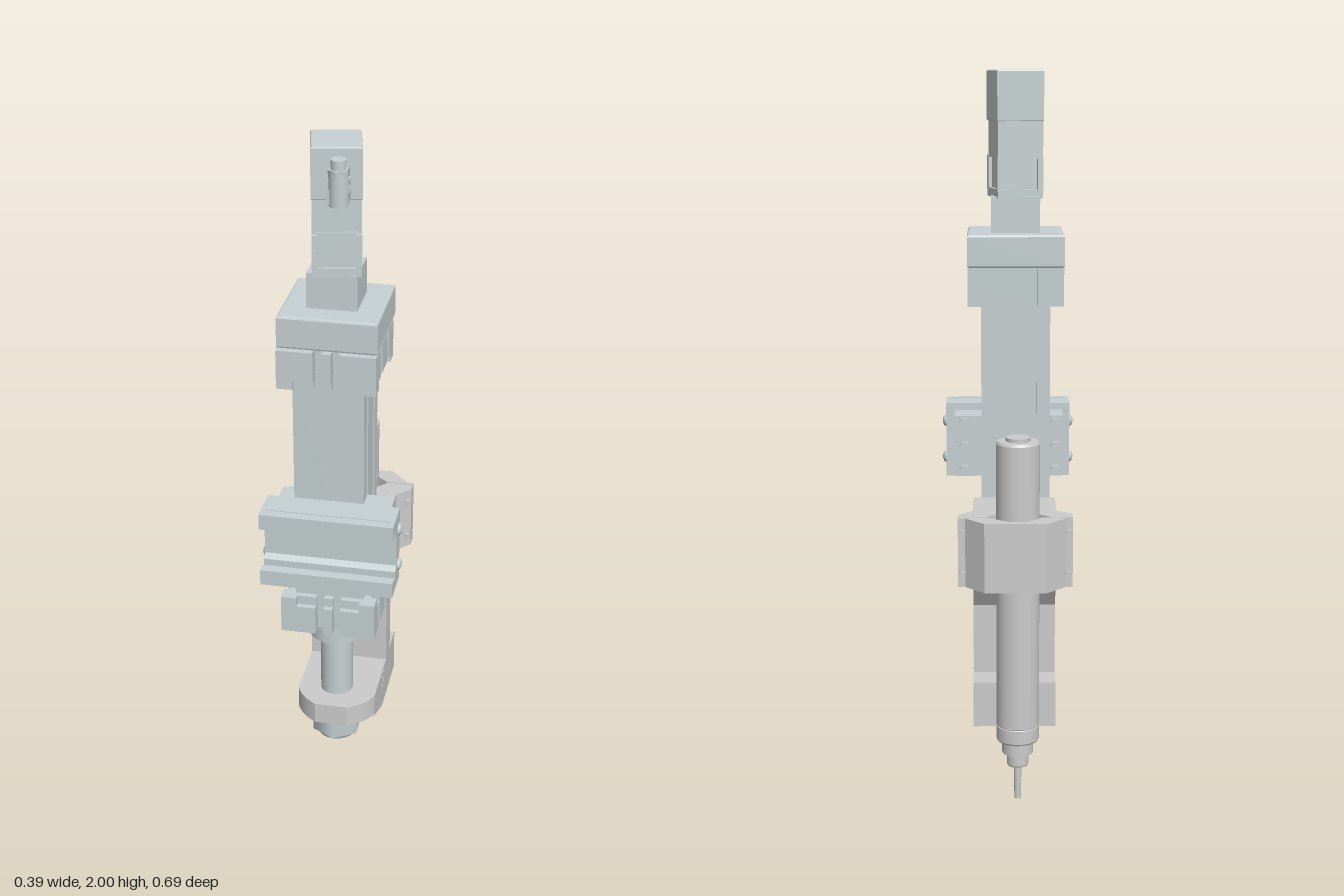
import * as THREE from 'three';

const blue = new THREE.MeshStandardMaterial({ color: 0xc6d0d2 });
const grey = new THREE.MeshStandardMaterial({ color: 0xcccccc });

export function createModel() {
  const root = new THREE.Group();
  const CX = -0.02, CZ = 0.1; // axis of the press cylinder
  const SX = -0.023, SZ = -0.265; // axis of the spindle

  const add = (name, geo, mat, parent = root) => {
    const m = new THREE.Mesh(geo, mat);
    m.name = name;
    parent.add(m);
    return m;
  };
  // box given by its limits
  const box = (name, mat, x0, x1, y0, y1, z0, z1, parent) => add(name,
    new THREE.BoxGeometry(x1 - x0, y1 - y0, z1 - z0)
      .translate((x0 + x1) / 2, (y0 + y1) / 2, (z0 + z1) / 2), mat, parent);
  // upright cylinder
  const cyl = (name, mat, x, z, y0, y1, r, sides = 32, r2 = r) => add(name,
    new THREE.CylinderGeometry(r2, r, y1 - y0, sides).translate(x, (y0 + y1) / 2, z), mat);
  const shapeOf = (pts) => new THREE.Shape(pts.map(([a, b]) => new THREE.Vector2(a, b)));
  const extrude = (shape, depth, bevel = 0) => new THREE.ExtrudeGeometry(shape, {
    depth, curveSegments: 24, bevelEnabled: bevel > 0, bevelSize: bevel, bevelThickness: bevel, bevelOffset: -bevel, bevelSegments: 2 });
  // outline of [x, z] points raised from y0 to y1
  const prismY = (name, mat, pts, y0, y1, parent) => add(name,
    extrude(shapeOf(pts.map(([x, z]) => [x, -z])), y1 - y0).rotateX(-Math.PI / 2).translate(0, y0, 0), mat, parent);
  // outline of [z, y] points drawn from x0 to x1
  const prismX = (name, mat, pts, x0, x1) => add(name,
    extrude(shapeOf(pts.map(([z, y]) => [-z, y])), x1 - x0).rotateY(Math.PI / 2).translate(x0, 0, 0), mat);
  // small disc lying across the x axis
  const discX = (name, mat, x, y, z, r, len, sides = 16) => add(name,
    new THREE.CylinderGeometry(r, r, len, sides).rotateZ(Math.PI / 2).translate(x, y, z), mat);

  // rectangle around the cylinder axis with T-slots; slots are offsets for the +z, +x, -z, -x sides
  const slotted = (hx, hz, slots, width, depth, flare) => {
    const pts = [];
    const sides = [[0, 1, hx, hz], [1, 0, hz, hx], [0, -1, hx, hz], [-1, 0, hz, hx]];
    sides.forEach(([nx, nz, half, dist], i) => {
      const tx = nz, tz = -nx;
      const put = (t, d) => pts.push([CX + tx * t + nx * d, CZ + tz * t + nz * d]);
      put(-half, dist);
      for (const s of slots[i]) {
        const a = width / 2, b = a + flare;
        put(s - a, dist);
        if (flare) { put(s - a, dist - depth * 0.4); put(s - b, dist - depth * 0.4); }
        put(s - b, dist - depth);
        put(s + b, dist - depth);
        if (flare) { put(s + b, dist - depth * 0.4); put(s + a, dist - depth * 0.4); }
        put(s + a, dist);
      }
      put(half, dist);
    });
    return pts;
  };

  // press cylinder: slotted body, end clamps and top cap
  const pair = [-0.049, 0.049];
  prismY('cylinderBody', blue, slotted(0.097, 0.1, [[], pair, pair, pair], 0.022, 0.03, 0.006), 0.66, 1.4);
  const toothed = slotted(0.134, 0.132, [[-0.024, 0.024], pair, pair, pair], 0.022, 0.033, 0);
  for (const [name, y0, y1, s] of [['lowerClamp', 0.588, 0.7, 1], ['upperClamp', 1.355, 1.465, -1]]) {
    const base = s > 0 ? y0 : y1;
    const inner = slotted(0.118, 0.116, [[-0.024, 0.024], pair, pair, pair], 0.022, 0.018, 0);
    const g = new THREE.Group();
    g.name = name;
    root.add(g);
    if (s > 0) prismY('clampBlock', blue, toothed, base, base + 0.085, g);
    else prismY('clampBlock', blue, toothed, base - 0.085, base, g);
    prismY('clampStep', blue, inner, y0, y1, g);
    for (const sx of [-1, 1]) for (const sz of [-1, 1]) {
      const x = CX + sx * 0.112, z = CZ + sz * 0.11;
      box('cornerLug', blue, x - 0.022, x + 0.022, y0, y1, z - 0.022, z + 0.022, g);
    }
  }
  const cap = new THREE.Shape();
  cap.moveTo(-0.135, -0.135).lineTo(0.135, -0.135).lineTo(0.135, 0.135).lineTo(-0.135, 0.135);
  add('topCap', extrude(cap, 0.079, 0.006).rotateX(-Math.PI / 2).translate(CX, 1.471, 0.082), blue);

  // adapter and motor
  box('motorAdapter', blue, -0.088, 0.048, 1.55, 1.655, 0.012, 0.148);
  const motor = new THREE.Group();
  motor.name = 'motor';
  motor.position.set(-0.019, 0, 0.085);
  motor.rotation.y = 0.21;
  root.add(motor);
  box('motorFlange', blue, -0.064, 0.064, 1.65, 1.675, -0.069, 0.069, motor);
  box('motorBody', blue, -0.055, 0.055, 1.67, 1.77, -0.06, 0.06, motor);
  box('motorHousing', blue, -0.064, 0.064, 1.76, 1.865, -0.07, 0.055, motor);
  for (const sx of [-1, 1]) for (const sz of [-1, 1])
    box('motorCornerPost', blue, sx * 0.057 - 0.008, sx * 0.057 + 0.008, 1.67, 1.765, sz * 0.06 - 0.01, sz * 0.06 + 0.01, motor);
  const top = shapeOf([[-0.066, -0.071], [0.066, -0.071], [0.066, 0.071], [-0.066, 0.071]]);
  add('motorHead', extrude(top, 0.132, 0.004).rotateX(-Math.PI / 2).translate(0, 1.864, 0), blue, motor);

  // angled plug on the motor
  box('plugBase', blue, -0.022, 0.032, 1.865, 1.925, 0.15, 0.19);
  add('plugElbow', new THREE.CylinderGeometry(0.027, 0.027, 0.06, 20).rotateX(Math.PI / 2).translate(0.01, 1.895, 0.2), blue);
  cyl('plugBody', blue, 0.013, 0.215, 1.87, 1.955, 0.025, 20);
  cyl('plugCollar', blue, 0.013, 0.215, 1.945, 1.965, 0.028, 6);
  cyl('plugTip', blue, 0.013, 0.215, 1.96, 1.99, 0.02, 20);

  // rod and nut
  cyl('rodCollar', blue, CX, CZ, 0.52, 0.6, 0.078, 40);
  cyl('pistonRod', blue, CX, CZ, 0.2, 0.53, 0.047, 40);
  cyl('nutWasher', blue, CX, CZ, 0.235, 0.257, 0.05, 32);
  const nut = cyl('rodNut', blue, CX, CZ, 0.178, 0.24, 0.075, 6);
  nut.material = blue;
  cyl('rodNutChamfer', blue, CX, CZ, 0.165, 0.178, 0.058, 32, 0.064);

  // front mounting rail, open to the front
  const half = [[0.235, 1.03], [0.345, 1.03], [0.345, 0.985], [0.318, 0.985], [0.318, 0.995],
    [0.3, 0.995], [0.3, 0.975], [0.282, 0.965]];
  prismX('frontRail', blue, [...half, ...half.map(([z, y]) => [z, 1.84 - y]).reverse()], -0.183, 0.183);
  for (const s of [-1, 1]) {
    box('railRib', blue, -0.17, 0.17, 0.92 + s * 0.11 - 0.002, 0.92 + s * 0.11 + 0.002, 0.313, 0.317);
    for (const y of [0.865, 0.975]) {
      const head = add('railScrew', new THREE.SphereGeometry(0.018, 16, 10), blue);
      head.scale.x = 0.6;
      head.position.set(s * 0.183, y, 0.255);
    }
  }
  // saddle holding the rail to the body
  box('saddle', blue, -0.16, 0.155, 0.83, 1.01, 0.19, 0.236);
  for (const [x0, x1] of [[-0.16, -0.1], [0.075, 0.155]]) {
    box('saddleJaw', blue, x0, x1, 0.83, 1.01, 0.146, 0.2);
    for (const y of [0.85, 0.92, 0.99])
      add('saddleScrew', new THREE.CylinderGeometry(0.014, 0.014, 0.02, 16)
        .rotateX(Math.PI / 2).translate(x0 < 0 ? -0.137 : 0.128, y, 0.138), blue);
  }

  // carrier bracket: rounded foot, side ribs and C-shaped column
  const foot = new THREE.Shape();
  foot.moveTo(-0.13, 0.1).lineTo(-0.13, -0.13).quadraticCurveTo(-0.115, -0.175, -0.065, -0.205)
    .lineTo(0.03, -0.205).quadraticCurveTo(0.085, -0.175, 0.1, -0.13).lineTo(0.1, 0.1);
  add('bracketFoot', extrude(foot, 0.065).rotateX(-Math.PI / 2).translate(0, 0.255, 0), grey);
  for (const [x0, x1] of [[-0.13, -0.088], [0.058, 0.1]])
    prismX('bracketRib', grey, [[0.15, 0.256], [0, 0.19], [-0.08, 0.19], [-0.08, 0.256]], x0, x1);
  prismX('bracketColumn', grey, [[-0.058, 0.19], [-0.058, 0.815], [-0.205, 0.815], [-0.205, 0.64],
    [-0.125, 0.52], [-0.125, 0.32], [-0.21, 0.32], [-0.21, 0.19]], -0.13, 0.1);
  for (const x of [-0.13, 0.1]) for (const z of [0.01, -0.02]) for (const y of [0.27, 0.3])
    discX('bracketPin', grey, x, y, z, 0.006, 0.004, 10);

  // split V-jaw clamp around the spindle
  prismY('clampFrontJaw', grey, [[-0.172, -0.273], [-0.112, -0.273], [-0.065, -0.225], [-0.04, -0.195],
    [-0.006, -0.195], [0.02, -0.225], [0.066, -0.273], [0.14, -0.273], [0.14, -0.245], [0.1, -0.205],
    [0.1, -0.15], [-0.13, -0.15], [-0.13, -0.208], [-0.172, -0.232]], 0.622, 0.815);
  prismY('clampRearJaw', grey, [[-0.172, -0.286], [-0.154, -0.286], [-0.1, -0.344], [0.068, -0.344],
    [0.12, -0.286], [0.14, -0.286], [0.14, -0.277], [0.06, -0.277], [0.0, -0.326], [-0.046, -0.326],
    [-0.09, -0.277], [-0.172, -0.277]], 0.622, 0.815);
  for (const x of [-0.16, 0.128]) for (const y of [0.66, 0.775])
    add('clampScrew', new THREE.CylinderGeometry(0.009, 0.009, 0.07, 12).rotateX(Math.PI / 2).translate(x, y, -0.262), grey);

  // spindle turned as one profile, radius and height
  const turned = [[0, 0], [0.009, 0], [0.011, 0.1], [0.011, 0.1], [0.028, 0.1], [0.03, 0.105], [0.03, 0.138],
    [0.043, 0.138], [0.043, 0.175], [0.056, 0.175], [0.059, 0.18], [0.059, 0.218], [0.057, 0.22], [0.059, 0.222],
    [0.059, 1.018], [0.055, 1.025], [0.033, 1.025], [0.033, 1.035], [0, 1.035]];
  const profile = [];
  // doubled points keep the shoulders crisp
  turned.forEach(([r, y], i) => {
    const v = new THREE.Vector2(r, y);
    if (i && i < turned.length - 1) profile.push(v, new THREE.Vector2(r, y + 1e-5));
    else profile.push(v);
  });
  add('spindle', new THREE.LatheGeometry(profile, 40).translate(SX, 0, SZ), grey);

  // lift plate with bolt, guide pin and spring
  box('liftPlate', grey, -0.081, 0.036, 0.815, 0.852, -0.265, -0.142);
  cyl('liftBolt', grey, SX, -0.175, 0.85, 0.875, 0.022, 6);
  cyl('liftBoltEnd', grey, SX, -0.175, 0.87, 0.902, 0.015, 20);
  cyl('guidePin', grey, SX, -0.173, 0.375, 0.66, 0.015, 20);
  cyl('springSeat', grey, SX, -0.173, 0.372, 0.386, 0.03, 24);
  const coil = [];
  for (let i = 0; i <= 96; i++) {
    const a = i / 96 * Math.PI * 2 * 6;
    coil.push(new THREE.Vector3(SX + Math.cos(a) * 0.027, 0.392 + i / 96 * 0.21, -0.173 + Math.sin(a) * 0.027));
  }
  add('spring', new THREE.TubeGeometry(new THREE.CatmullRomCurve3(coil), 200, 0.006, 8), grey);

  return root;
}
